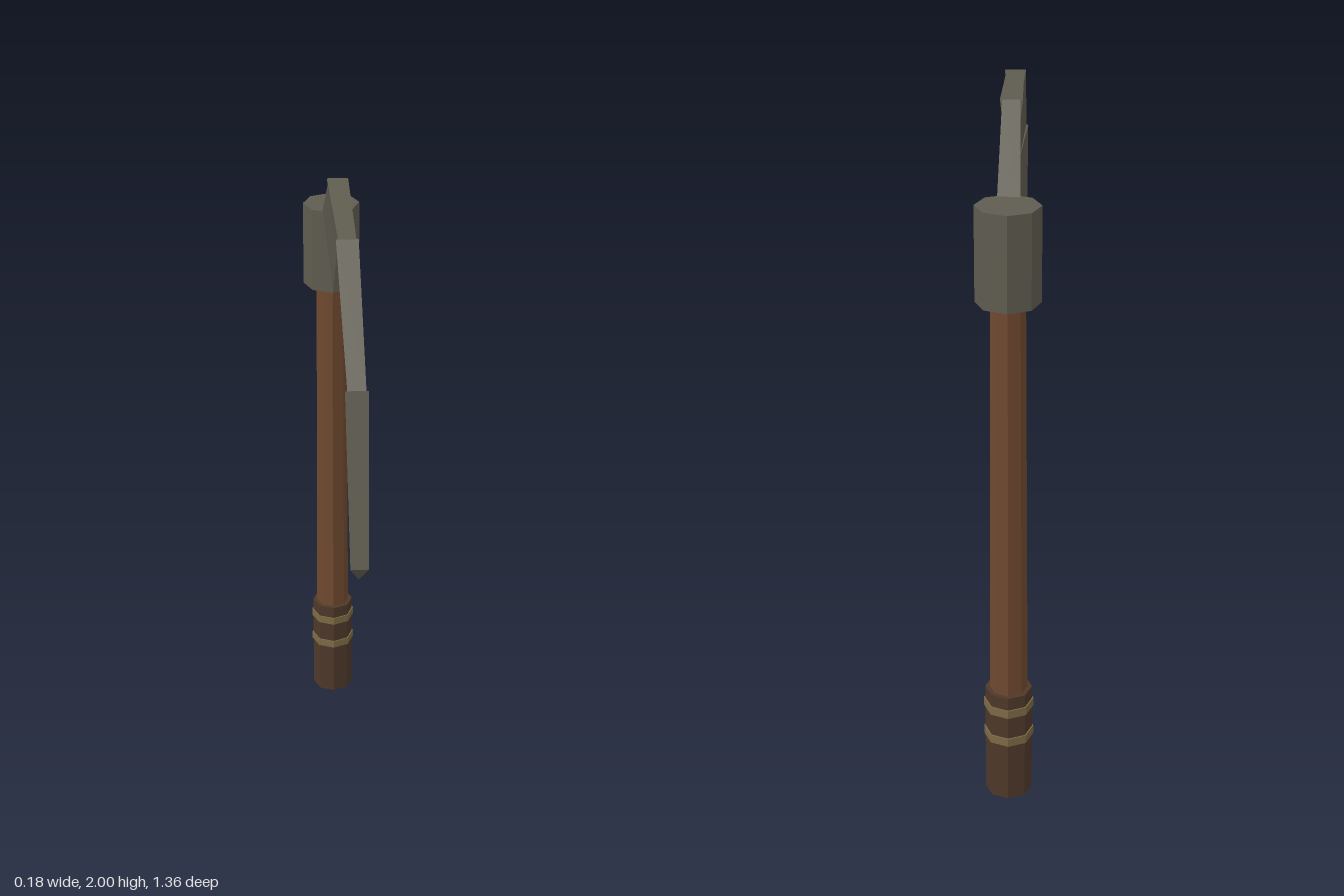
import * as THREE from 'three';

const SHAFT_Z = -0.59;
const mat = (color) => new THREE.MeshStandardMaterial({ color, flatShading: true });

// Eight-sided upright piece on the shaft axis, from y0 to y1
function shaftPart(name, rBottom, rTop, y0, y1, material) {
  const mesh = new THREE.Mesh(new THREE.CylinderGeometry(rTop, rBottom, y1 - y0, 8), material);
  mesh.position.set(0, (y0 + y1) / 2, SHAFT_Z);
  mesh.name = name;
  return mesh;
}

// Wedge between two stations: a flat spine above and a sharp cutting edge below
function bladeSegment(a, b, halfA, halfB) {
  const section = (s, h) => [
    [h, s.spine[1], s.spine[0]],
    [-h, s.spine[1], s.spine[0]],
    [0, s.edge[1], s.edge[0]],
  ];
  const [aL, aR, aE] = section(a, halfA);
  const [bL, bR, bE] = section(b, halfB);
  const corners = [
    aR, bR, bL, aR, bL, aL, // spine
    aL, bL, bE, aL, bE, aE, // left side
    aR, bE, bR, aR, aE, bE, // right side
    bL, bR, bE, aL, aE, aR, // ends
  ];
  const geometry = new THREE.BufferGeometry();
  geometry.setAttribute('position', new THREE.Float32BufferAttribute(corners.flat(), 3));
  geometry.computeVertexNormals();
  return geometry;
}

export function createModel() {
  const model = new THREE.Group();
  model.name = 'scythe';
  const wood = mat(0x70492f);
  const leather = mat(0x4e3829);
  const brass = mat(0x7d6944);
  const iron = mat(0x5f5c50);

  // Shaft, grip and its two bands
  model.add(shaftPart('shaft', 0.055, 0.047, 0.3, 1.6, wood));
  model.add(shaftPart('grip', 0.068, 0.068, 0, 0.35, leather));
  [0.2, 0.297].forEach((y, i) => {
    model.add(shaftPart(`gripBand${i + 1}`, 0.072, 0.072, y - 0.013, y + 0.013, brass));
  });

  // Socket that holds the blade
  model.add(shaftPart('socket', 0.0885, 0.0885, 1.545, 1.81, iron));

  // Blade stations as [z, y], from socket to tip
  const stations = [
    { spine: [-0.55, 1.788], edge: [-0.54, 1.51] },
    { spine: [-0.265, 2.0], edge: [-0.307, 1.743] },
    { spine: [0.165, 1.975], edge: [0.13, 1.795] },
    { spine: [0.545, 1.705], edge: [0.51, 1.587] },
    { spine: [0.68, 1.245], edge: [0.64, 1.19] },
  ];
  const blade = new THREE.Group();
  blade.name = 'blade';
  for (let i = 0; i < stations.length - 1; i++) {
    const mesh = new THREE.Mesh(bladeSegment(stations[i], stations[i + 1], 0.031, 0.025), iron);
    mesh.name = `bladeSegment${i + 1}`;
    blade.add(mesh);
  }
  model.add(blade);
  return model;
}
